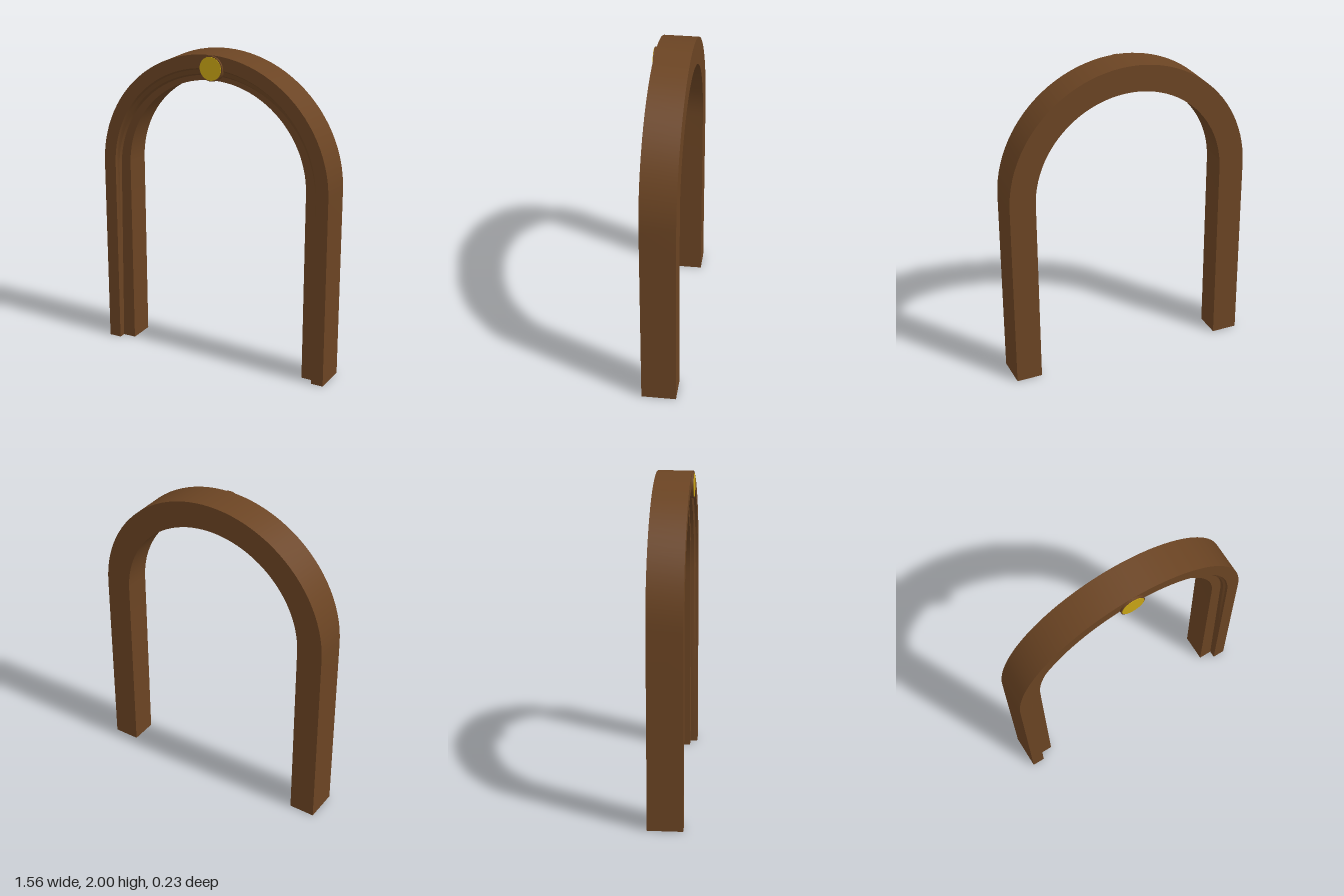
import * as THREE from 'three';
import { toCreasedNormals } from 'three/addons/utils/BufferGeometryUtils.js';

const SPRING = 1.22; // height where the legs turn into the half-round head
const BACK = -0.115;

// Cross-section as [radius, z]; the moulding widens with t from a plain step
function section(t) {
  return [
    [0.78, BACK], [0.78, 0.1],
    [0.7 - 0.003 * t, 0.1], [0.7 - 0.014 * t, 0.085],
    [0.7 - 0.042 * t, 0.075], [0.7 - 0.054 * t, 0.055],
    [0.615, 0.055], [0.615, BACK],
  ];
}

// Sweep the section up one leg, around the head and down the other leg
function archGeometry() {
  const stations = [];
  const legRows = 4, arcSteps = 48;
  for (let i = 0; i < legRows; i++) {
    stations.push({ angle: Math.PI, y: SPRING * i / legRows, t: 0.35 * i / legRows });
  }
  for (let i = 0; i <= arcSteps; i++) {
    const angle = Math.PI * (1 - i / arcSteps);
    stations.push({ angle, y: SPRING, t: 0.35 + 0.65 * Math.sin(angle) });
  }
  for (let i = legRows - 1; i >= 0; i--) {
    stations.push({ angle: 0, y: SPRING * i / legRows, t: 0.35 * i / legRows });
  }
  const rings = stations.map(({ angle, y, t }) => section(t).map(
    ([r, z]) => [r * Math.cos(angle), y + r * Math.sin(angle), z]));

  const pos = [];
  const tri = (a, b, c) => pos.push(...a, ...b, ...c);
  const n = rings[0].length;
  for (let i = 0; i < rings.length - 1; i++) {
    for (let j = 0; j < n; j++) {
      const k = (j + 1) % n, p = rings[i], q = rings[i + 1];
      tri(p[j], p[k], q[j]);
      tri(q[j], p[k], q[k]);
    }
  }
  // Feet
  const first = rings[0], last = rings[rings.length - 1];
  for (let j = 1; j < n - 1; j++) {
    tri(first[0], first[j + 1], first[j]);
    tri(last[0], last[j], last[j + 1]);
  }
  const geo = new THREE.BufferGeometry();
  geo.setAttribute('position', new THREE.Float32BufferAttribute(pos, 3));
  return toCreasedNormals(geo, 0.4);
}

// Disc facing +z between two depths
function disc(radius, z0, z1) {
  return new THREE.CylinderGeometry(radius, radius, z1 - z0, 32)
    .rotateX(Math.PI / 2).translate(0, 1.92, (z0 + z1) / 2);
}

export function createModel() {
  const wood = new THREE.MeshStandardMaterial({ color: 0x6b4423 });
  wood.name = 'brownWood';
  const gold = new THREE.MeshStandardMaterial({ color: 0xc9a514 });
  gold.name = 'gold';

  const group = new THREE.Group();
  group.name = 'archway';
  const add = (name, geo, mat) => {
    const mesh = new THREE.Mesh(geo, mat);
    mesh.name = name;
    group.add(mesh);
  };
  add('archFrame', archGeometry(), wood);
  // Round boss at the crown with a gold face
  add('crownBoss', disc(0.078, 0.04, 0.112), wood);
  add('goldFace', disc(0.072, 0.111, 0.115), gold);
  return group;
}
